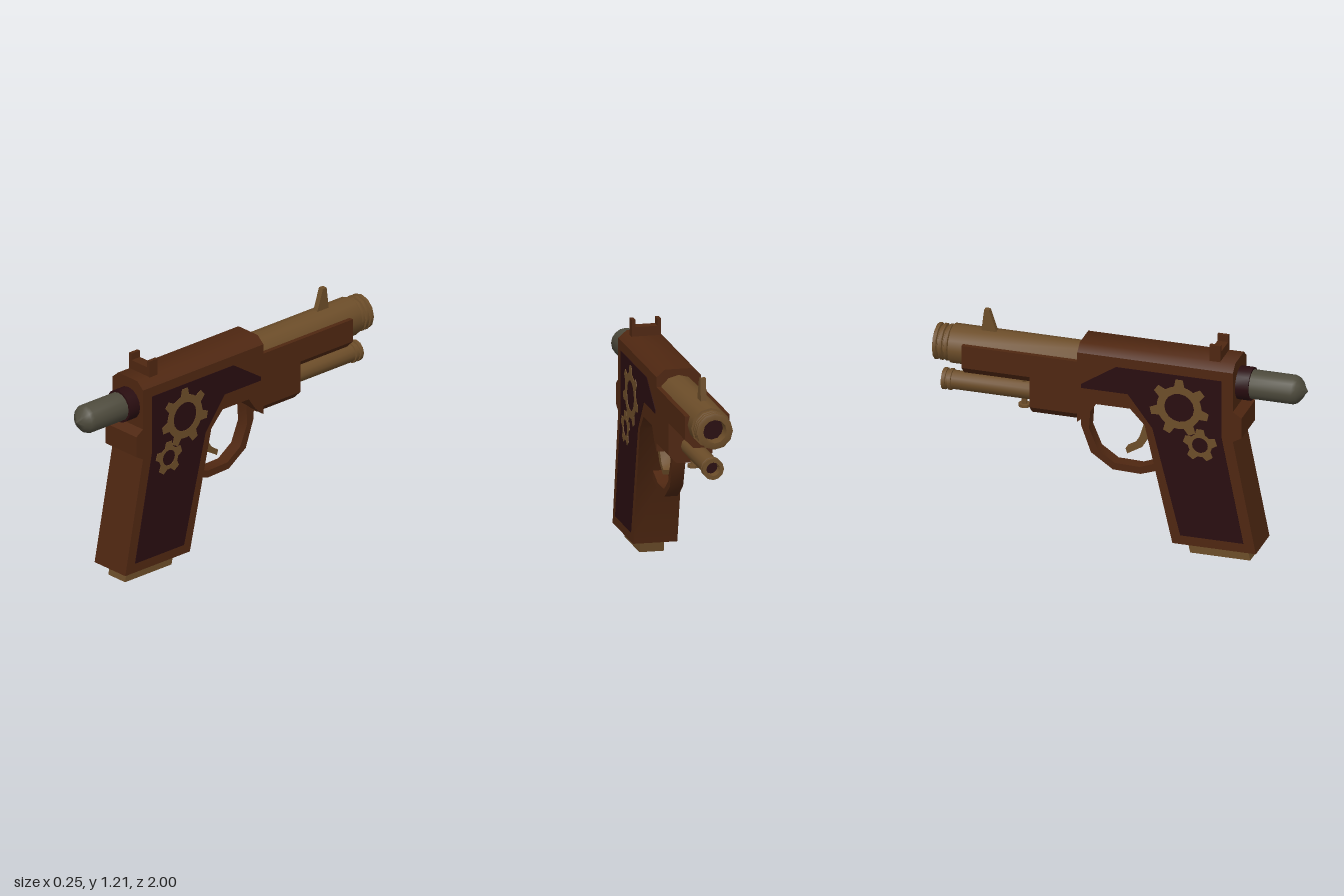
import * as THREE from 'three';
import { toCreasedNormals } from 'three/addons/utils/BufferGeometryUtils.js';

const material = (name, color) => {
  const m = new THREE.MeshStandardMaterial({ color });
  m.name = name;
  return m;
};

export function createModel() {
  const brown = material('brown frame', 0x4f2711);
  const brass = material('brass', 0x6c4d29);
  const oxblood = material('dark red', 0x290d10);
  const steel = material('grey steel', 0x4d4a3c);

  const root = new THREE.Group();
  const body = new THREE.Group();
  body.name = 'pistol';
  body.position.x = 0.006;
  root.add(body);

  const add = (name, geo, mat, x = 0, y = 0, z = 0) => {
    const mesh = new THREE.Mesh(toCreasedNormals(geo, 0.75), mat);
    mesh.name = name;
    mesh.position.set(x, y, z);
    body.add(mesh);
    return mesh;
  };
  const outline = (pts) => new THREE.Shape(pts.map(([a, b]) => new THREE.Vector2(a, b)));
  // side outline in (z, y), given a width across x
  const slab = (shape, width) =>
    new THREE.ExtrudeGeometry(shape, { depth: width, bevelEnabled: false, curveSegments: 8 })
      .translate(0, 0, -width / 2).rotateY(-Math.PI / 2);
  // cross-section in (x, y), run from z0 to z1
  const run = (pts, z0, z1) =>
    new THREE.ExtrudeGeometry(outline(pts), { depth: z1 - z0, bevelEnabled: false }).translate(0, 0, z0);
  // turned part along z; dir -1 points to the muzzle
  const turned = (pts, dir, sides = 12) =>
    new THREE.LatheGeometry(pts.map(([r, h]) => new THREE.Vector2(r, h)), sides).rotateX(dir * Math.PI / 2);

  const H = 0.117;

  // frame and grip in one side outline
  add('frame', slab(outline([
    [0.757, 0.067], [0.633, 0.69], [0.68, 0.717], [0.68, 0.83], [0.633, 0.86], [0.633, 1.08],
    [-0.206, 1.08], [-0.206, 0.685], [-0.15, 0.733], [-0.104, 0.8], [0.078, 0.8], [0.157, 0.717], [0.307, 0.067],
  ]), 2 * H), brown);
  add('slideTop', run([[-H, 1.08], [H, 1.08], [0.073, 1.118], [-0.073, 1.118]], -0.206, 0.633), brown);

  // barrel shroud and lower block, both with chamfered undersides
  const chamfered = (lo, hi, c) => [[-H + c, lo], [H - c, lo], [H, lo + c], [H, hi], [-H, hi], [-H, lo + c]];
  add('barrelShroud', run(chamfered(0.857, 1.027, 0.045), -0.83, -0.2), brown);
  add('lowerBlock', run(chamfered(0.685, 0.95, 0.045), -0.463, -0.2), brown);

  // magazine base under the grip
  add('magazineBase', slab(outline([[0.71, 0], [0.695, 0.08], [0.37, 0.08], [0.386, 0]]), 0.128), brass);

  // barrel with three muzzle rings and a bore
  const barrelProfile = [[0.104, 0.18], [0.104, 0.91], [0.084, 0.912]];
  for (let i = 0; i < 3; i++) {
    const h = 0.915 + i * 0.03;
    barrelProfile.push([0.084, h], [0.096, h + 0.004], [0.096, h + 0.021], [0.084, h + 0.025]);
  }
  barrelProfile.push([0.062, 1.0], [0.058, 0.92]);
  add('barrel', turned(barrelProfile, -1), brass, 0, 0.982, 0);
  add('barrelBore', new THREE.CircleGeometry(0.062, 12).rotateY(Math.PI), oxblood, 0, 0.982, -0.93);

  // lower tube, its lip and its clamp screw
  add('lowerTube', turned([
    [0.05, 0.44], [0.05, 0.91], [0.057, 0.912], [0.057, 0.928], [0.05, 0.93], [0.05, 0.94],
    [0.057, 0.942], [0.057, 0.962], [0.036, 0.962], [0.034, 0.9],
  ], -1), brass, 0, 0.773, 0);
  add('tubeBore', new THREE.CircleGeometry(0.036, 12).rotateY(Math.PI), oxblood, 0, 0.773, -0.91);
  add('clampScrew', new THREE.CylinderGeometry(0.016, 0.016, 0.18, 8), brass, 0, 0.775, -0.527);
  add('screwHead', new THREE.CylinderGeometry(0.032, 0.032, 0.016, 8), brass, 0, 0.685, -0.527);
  add('screwCollar', new THREE.CylinderGeometry(0.024, 0.024, 0.014, 8), brass, 0, 0.85, -0.527);

  // rear bolt and its collar
  add('boltCollar', turned([[0.088, 0.6], [0.088, 0.703], [0.06, 0.703]], 1, 16), oxblood, 0.006, 0.975, 0);
  add('bolt', turned([
    [0.077, 0.68], [0.077, 0.93], [0.069, 0.95], [0.045, 0.972], [0.02, 0.985], [0.001, 1.0],
  ], 1, 16), steel, 0.006, 0.975, 0);

  // sights
  add('rearSight', run([
    [-0.077, 1.11], [0.077, 1.11], [0.077, 1.205], [0.058, 1.205], [0.058, 1.168],
    [-0.058, 1.168], [-0.058, 1.205], [-0.077, 1.205],
  ], 0.495, 0.553), brown);
  add('frontSight', slab(outline([[-0.667, 1.06], [-0.757, 1.06], [-0.74, 1.2], [-0.714, 1.2]]), 0.03), brass);

  // trigger and its guard
  add('trigger', slab(outline([
    [0.15, 0.74], [0.162, 0.68], [0.157, 0.615], [0.115, 0.545], [0.035, 0.497],
    [0.025, 0.524], [0.067, 0.548], [0.1, 0.6], [0.128, 0.69], [0.11, 0.74],
  ]), 0.05), brass);
  add('triggerGuard', slab(outline([
    [-0.16, 0.74], [-0.168, 0.615], [-0.12, 0.5], [-0.03, 0.438], [0.105, 0.434], [0.24, 0.485],
    [0.24, 0.44], [0.11, 0.395], [-0.04, 0.4], [-0.158, 0.481], [-0.21, 0.625], [-0.216, 0.7],
  ]), 0.07), brown);

  // gear outline with a round hole
  const gear = (cz, cy, teeth, root, tip, hole) => {
    const pts = [];
    const step = (2 * Math.PI) / teeth;
    const half = 0.028;
    for (let i = 0; i < teeth; i++) {
      const a = Math.PI / 2 + i * step;
      const w = half / root;
      for (const [r, d] of [[root, -w], [tip, -0.7 * half / tip], [tip, 0.7 * half / tip],
        [root, w], [root, (w + step / 2) / 2], [root, step / 2], [root, step - (w + step / 2) / 2]]) {
        pts.push([cz + r * Math.cos(a + d), cy + r * Math.sin(a + d)]);
      }
    }
    const shape = outline(pts);
    shape.holes.push(new THREE.Path().absarc(cz, cy, hole, 0, 2 * Math.PI, true));
    return shape;
  };

  // grip panels and gears on both sides
  const panel = outline([
    [0.572, 1.027], [0.003, 1.027], [-0.185, 0.904], [-0.185, 0.882], [0.067, 0.882],
    [0.2, 0.706], [0.35, 0.118], [0.69, 0.118], [0.572, 0.706],
  ]);
  for (const side of [1, -1]) {
    const label = side > 0 ? 'left' : 'right';
    add(label + 'GripPanel', slab(panel, 0.006), oxblood, side * 0.117);
    add(label + 'LargeGear', slab(gear(0.345, 0.845, 7, 0.12, 0.16, 0.08), 0.006), brass, side * 0.12);
    add(label + 'SmallGear', slab(gear(0.457, 0.647, 5, 0.064, 0.092, 0.043), 0.006), brass, side * 0.12);
  }

  return root;
}
